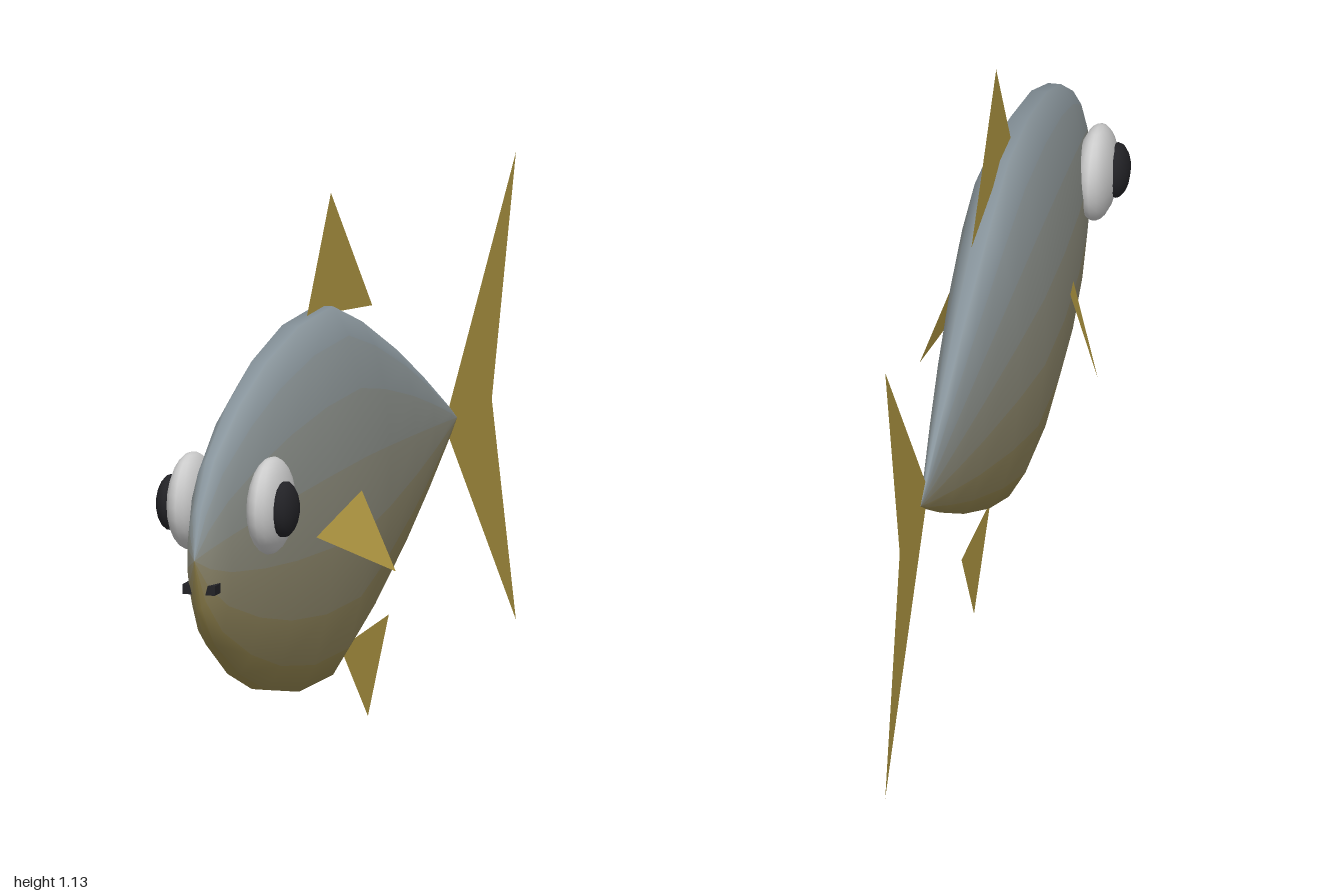
import * as THREE from 'three';

const FIN = 0xb89e45, DARK = 0x222226;

function mat(color, doubleSided = false) {
  return new THREE.MeshStandardMaterial({ color, side: doubleSided ? THREE.DoubleSide : THREE.FrontSide });
}

function add(parent, name, geometry, material) {
  const mesh = new THREE.Mesh(geometry, material);
  mesh.name = name;
  parent.add(mesh);
  return mesh;
}

// Thin fin from a fan of [x, y, z] corners
function fin(parent, name, corners) {
  const g = new THREE.BufferGeometry();
  g.setAttribute('position', new THREE.Float32BufferAttribute(corners.flat(), 3));
  const index = [];
  for (let i = 1; i < corners.length - 1; i++) index.push(0, i, i + 1);
  g.setIndex(index);
  g.computeVertexNormals();
  return add(parent, name, g, mat(FIN, true));
}

// Flattened ball
function ball(parent, name, center, radii, segments, color) {
  const g = new THREE.SphereGeometry(1, segments, Math.round(segments * 0.75));
  g.scale(...radii).translate(...center);
  return add(parent, name, g, mat(color));
}

export function createModel() {
  const model = new THREE.Group();
  model.name = 'fish';

  // Body: a slim 16-sided lathe along z, made of lengthwise strips shading from back to belly
  const body = new THREE.Group();
  body.name = 'body';
  model.add(body);
  const sides = 16, step = (Math.PI * 2) / sides;
  const profile = [
    [0, -0.635], [0.033, -0.58], [0.125, -0.41], [0.213, -0.235], [0.316, 0], [0.382, 0.19],
    [0.379, 0.4], [0.34, 0.595], [0.279, 0.755], [0.192, 0.9], [0.104, 0.97], [0, 1],
  ].map(([r, z]) => new THREE.Vector2(r / Math.cos(step / 2), z));
  const belly = new THREE.Color(0x95854a), back = new THREE.Color(0x8d9aa2);
  for (let i = 0; i < sides; i++) {
    const g = new THREE.LatheGeometry(profile, 1, (i + 0.5) * step, step);
    g.rotateX(Math.PI / 2).scale(0.243, 1, 1).translate(0, 0.521, 0);
    const height = (1 - Math.cos((i + 1) * step)) / 2;
    add(body, 'bodyStrip', g, mat(belly.clone().lerp(back, height)));
  }

  // Fins on the centre line
  fin(model, 'tailFin', [[0, 0.52, -0.555], [0, 1.005, -1], [0, 0.52, -0.85], [0, 0.035, -1]]);
  fin(model, 'dorsalFin', [[0, 0.9, 0.3], [0, 1.13, 0.15], [0, 0.85, -0.107]]);
  fin(model, 'analFin', [[0, 0.175, 0.09], [0, 0.19, -0.21], [0, 0.003, -0.08]]);

  // Mirrored parts
  for (const s of [1, -1]) {
    const side = s > 0 ? 'left' : 'right';
    fin(model, side + 'PectoralFin', [[s * 0.09, 0.485, 0.5], [s * 0.122, 0.55, 0.31], [s * 0.185, 0.38, 0.28]]);
    ball(model, side + 'Eye', [s * 0.086, 0.6, 0.77], [0.041, 0.1, 0.1], 16, 0xcccccc);
    ball(model, side + 'Pupil', [s * 0.122, 0.598, 0.79], [0.028, 0.058, 0.053], 12, DARK);
    const nostril = add(model, side + 'Nostril', new THREE.BoxGeometry(0.026, 0.02, 0.035), mat(DARK));
    nostril.position.set(s * 0.022, 0.456, 0.955);
  }

  return model;
}
